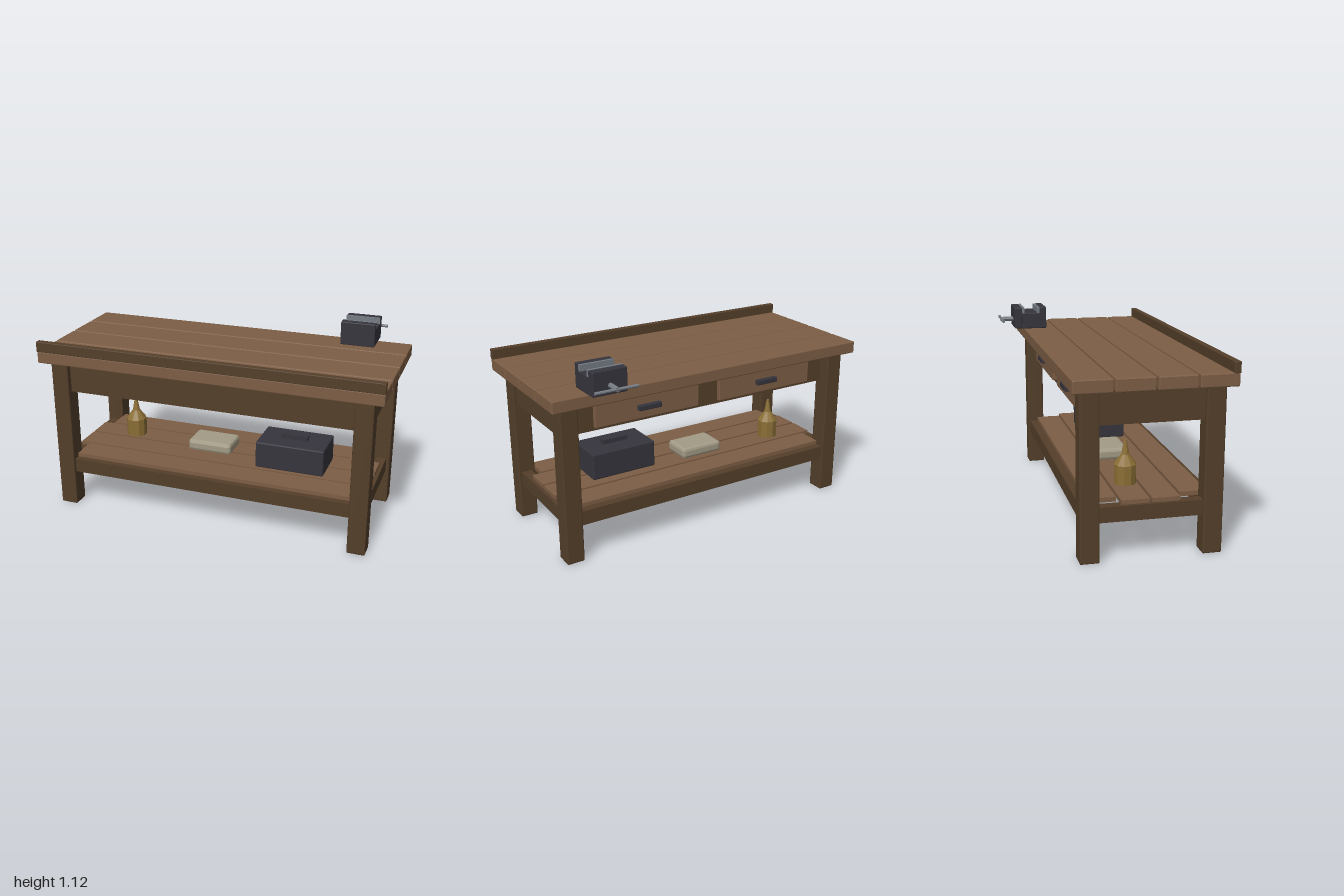
import * as THREE from 'three';
import { RoundedBoxGeometry } from 'three/addons/geometries/RoundedBoxGeometry.js';

const paint = (name, color) => {
  const m = new THREE.MeshStandardMaterial({ color, flatShading: true });
  m.name = name;
  return m;
};

export function createModel() {
  const plankWood = paint('plank wood', 0x7d5e45);
  const darkWood = paint('dark wood', 0x543f2a);
  const iron = paint('dark iron', 0x36353d);
  const steel = paint('steel', 0x767c84);
  const brass = paint('brass', 0x8b6f36);
  const cream = paint('cream', 0xa39b86);

  const model = new THREE.Group();
  model.name = 'workbench';

  const add = (parent, name, geometry, material) => {
    const mesh = new THREE.Mesh(geometry, material);
    mesh.name = name;
    parent.add(mesh);
    return mesh;
  };
  // Box given by its ranges on x, y and z, with an optional chamfer
  const box = (parent, name, material, [x0, x1], [y0, y1], [z0, z1], bevel = 0) => {
    const size = [x1 - x0, y1 - y0, z1 - z0];
    const geometry = bevel
      ? new RoundedBoxGeometry(...size, 1, bevel)
      : new THREE.BoxGeometry(...size);
    const mesh = add(parent, name, geometry, material);
    mesh.position.set((x0 + x1) / 2, (y0 + y1) / 2, (z0 + z1) / 2);
    return mesh;
  };
  const group = (name) => {
    const g = new THREE.Group();
    g.name = name;
    model.add(g);
    return g;
  };

  // Worktop: four planks and a raised strip along the front edge
  const top = group('worktop');
  for (let i = 0; i < 4; i++) {
    const z = 0.498 - i * 0.2155;
    box(top, 'topPlank', plankWood, [-0.998, 0.998], [0.907, 0.978], [z - 0.206, z], 0.006);
  }
  box(top, 'edgeStrip', darkWood, [-1, 1], [0.974, 1.035], [0.464, 0.5], 0.004);

  // Legs
  const frame = group('frame');
  for (const x of [-0.94, 0.837])
    for (const z of [-0.309, 0.348])
      box(frame, 'leg', darkWood, [x, x + 0.103], [0, 0.907], [z, z + 0.105], 0.007);

  // Drawer case under the top, and the stretchers between the legs
  box(frame, 'drawerCase', darkWood, [-0.915, 0.915], [0.725, 0.907], [-0.24, 0.42]);
  for (const z of [-0.295, 0.365])
    box(frame, 'longStretcher', darkWood, [-0.85, 0.85], [0.212, 0.295], [z, z + 0.07]);
  for (const x of [-0.92, 0.86])
    box(frame, 'sideStretcher', darkWood, [x, x + 0.06], [0.212, 0.295], [-0.22, 0.36]);

  // Two drawers opening to the back
  for (const side of [1, -1]) {
    const drawer = group(side > 0 ? 'leftDrawer' : 'rightDrawer');
    const x = side * 0.395;
    box(drawer, 'drawerFront', plankWood, [x - 0.325, x + 0.325], [0.745, 0.89], [-0.265, -0.23], 0.004);
    box(drawer, 'drawerHandle', iron, [x - 0.07, x + 0.07], [0.798, 0.828], [-0.292, -0.262], 0.004);
  }

  // Shelf planks
  const shelf = group('shelf');
  for (let i = 0; i < 4; i++) {
    const z = 0.397 - i * 0.1645;
    const x = i === 0 || i === 3 ? 0.84 : 0.9;
    box(shelf, 'shelfPlank', plankWood, [-x, x], [0.293, 0.318], [z - 0.15, z]);
  }

  // Oil bottle with a tapering spout
  const profile = [[0, 0.318], [0.062, 0.318], [0.062, 0.425], [0.022, 0.48], [0.007, 0.56], [0, 0.56]];
  const bottle = add(model, 'oilBottle',
    new THREE.LatheGeometry(profile.map(([r, y]) => new THREE.Vector2(r, y)), 10), brass);
  bottle.position.set(-0.63, 0, 0.005);

  // Small chamfered case
  box(model, 'smallCase', cream, [-0.23, 0.04], [0.318, 0.385], [-0.053, 0.13], 0.018);

  // Toolbox with a handle
  const toolbox = group('toolbox');
  box(toolbox, 'toolboxBody', iron, [0.228, 0.632], [0.32, 0.478], [-0.03, 0.218], 0.007);
  box(toolbox, 'toolboxHandle', iron, [0.35, 0.51], [0.474, 0.505], [0.079, 0.113]);

  // Vise: base, two jaws with steel plates, screw and turning bar
  const vise = group('vise');
  const w = [0.6, 0.8];
  box(vise, 'viseBase', iron, w, [0.978, 1.08], [-0.368, -0.212], 0.005);
  box(vise, 'fixedJaw', iron, w, [1.0, 1.115], [-0.256, -0.212], 0.004);
  box(vise, 'movingJaw', iron, w, [0.98, 1.114], [-0.416, -0.368], 0.005);
  for (const z of [-0.271, -0.368])
    box(vise, 'jawPlate', steel, w, [1.078, 1.114], [z, z + 0.015]);
  const screw = add(vise, 'viseScrew', new THREE.CylinderGeometry(0.014, 0.014, 0.09, 8), steel);
  screw.rotation.x = Math.PI / 2;
  screw.position.set(0.7, 1.031, -0.452);
  const bar = add(vise, 'turningBar', new THREE.CylinderGeometry(0.009, 0.009, 0.246, 8), steel);
  bar.rotation.z = Math.PI / 2;
  bar.position.set(0.703, 1.031, -0.491);

  return model;
}
